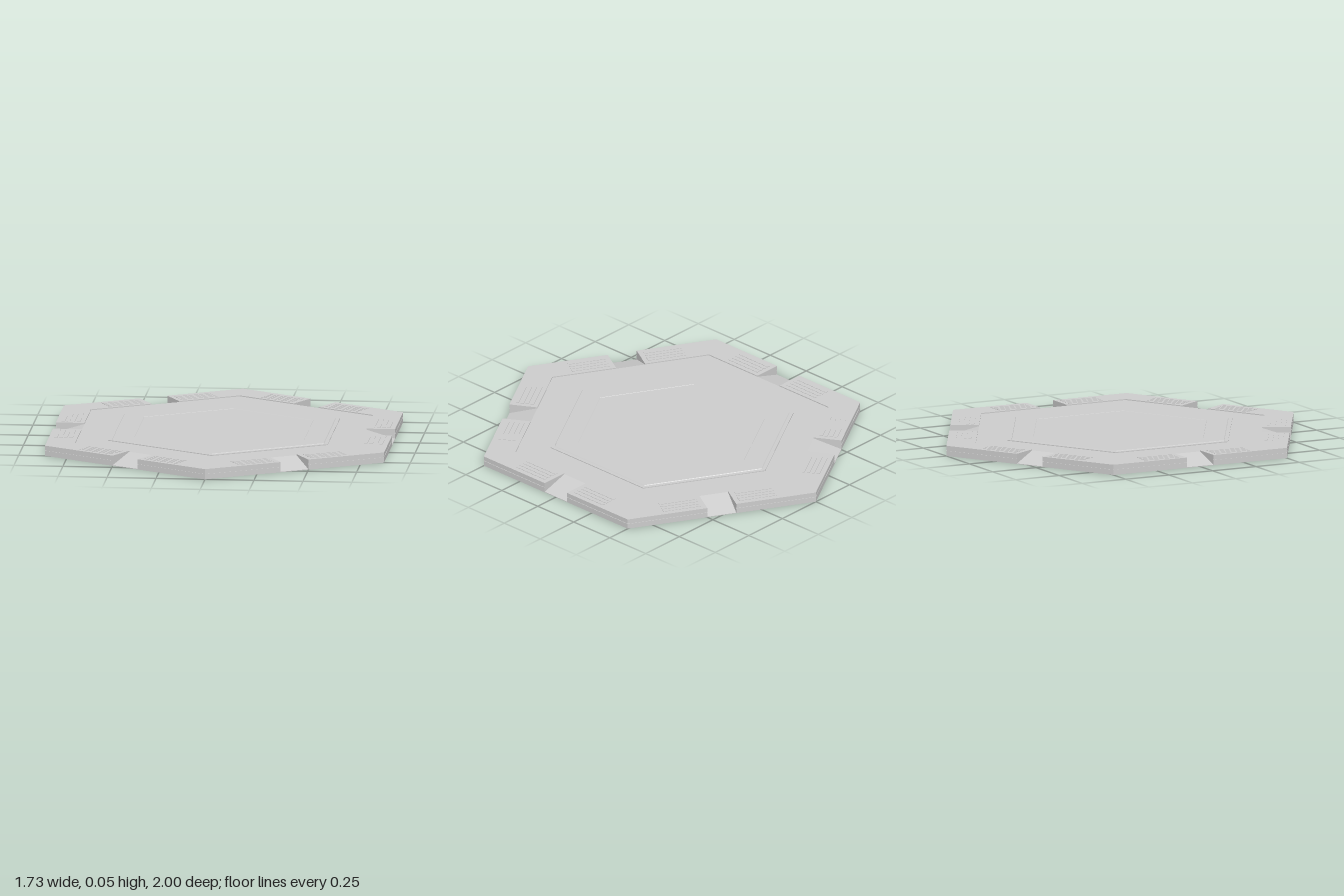
import * as THREE from 'three';

const material = new THREE.MeshStandardMaterial({ color: 0xcccccc, flatShading: true });
const S = Math.sqrt(3) / 2; // apothem of a unit hexagon
const GAP = 0.077;          // half width of the ramp in each side
const DEPTH = 0.146;        // depth of the rim blocks
const TOP = 0.055;

function addMesh(parent, name, geometry) {
  const mesh = new THREE.Mesh(geometry, material);
  mesh.name = name;
  parent.add(mesh);
  return mesh;
}

// Six-sided solid from a [radius, height] profile, points towards +z and -z
function hexSolid(profile) {
  const points = profile.map(([r, y]) => new THREE.Vector2(r, y));
  const geometry = new THREE.LatheGeometry(points, 6).toNonIndexed();
  geometry.computeVertexNormals();
  return geometry;
}

// Chevron that wraps one corner, with its outer walls set back by inset
function chevron(y0, y1, inset = 0) {
  const arm = 0.5 - GAP;
  const outer = [S * arm - 0.5 * inset, 1 - 0.5 * arm - S * inset];
  const inner = [S * arm - 0.5 * DEPTH, 1 - 0.5 * arm - S * DEPTH];
  const shape = new THREE.Shape([
    [0, 1 - inset / S], [-outer[0], outer[1]], [-inner[0], inner[1]],
    [0, 1 - DEPTH / S], inner, outer,
  ].map(([x, y]) => new THREE.Vector2(x, y)));
  const geometry = new THREE.ExtrudeGeometry(shape, { depth: y1 - y0, bevelEnabled: false });
  return geometry.rotateX(-Math.PI / 2).rotateY(Math.PI).translate(0, y0, 0);
}

function cornerBlock() {
  const block = new THREE.Group();
  block.name = 'cornerBlock';
  addMesh(block, 'lowerBlock', chevron(0.003, 0.027));
  addMesh(block, 'wallGroove', chevron(0.027, 0.031, 0.003));
  addMesh(block, 'upperBlock', chevron(0.031, TOP - 0.002));

  // Raised slats beside the ramps, on both arms
  for (const side of [-1, 1]) {
    const along = 0.5 - GAP - 0.125;
    for (let i = 0; i < 4; i++) {
      const inward = 0.035 + i * 0.026;
      const slat = addMesh(block, 'slat', new THREE.BoxGeometry(0.2, 0.003, 0.016));
      slat.position.set(
        side * (S * along - 0.5 * inward), TOP - 0.0015, 1 - 0.5 * along - S * inward);
      slat.rotation.y = side * Math.PI / 6;
    }
  }
  return block;
}

export function createModel() {
  const model = new THREE.Group();
  model.name = 'hexagonalPlatform';

  // Base whose sloping sides form the ramps between the blocks
  addMesh(model, 'basePlate', hexSolid([
    [0, 0], [1, 0], [1, 0.003], [1 - DEPTH / S, 0.048], [0.64, 0.048], [0, 0.048],
  ]));

  // Raised centre with a stepped border and a shallow inner panel
  addMesh(model, 'centrePlatform', hexSolid([
    [0.647, 0.047], [0.647, 0.052], [0.625, 0.052], [0.622, TOP],
    [0.5, TOP], [0.498, 0.0535], [0, 0.0535],
  ]));

  for (let i = 0; i < 6; i++) {
    const block = cornerBlock();
    block.rotation.y = i * Math.PI / 3;
    model.add(block);
  }
  return model;
}
